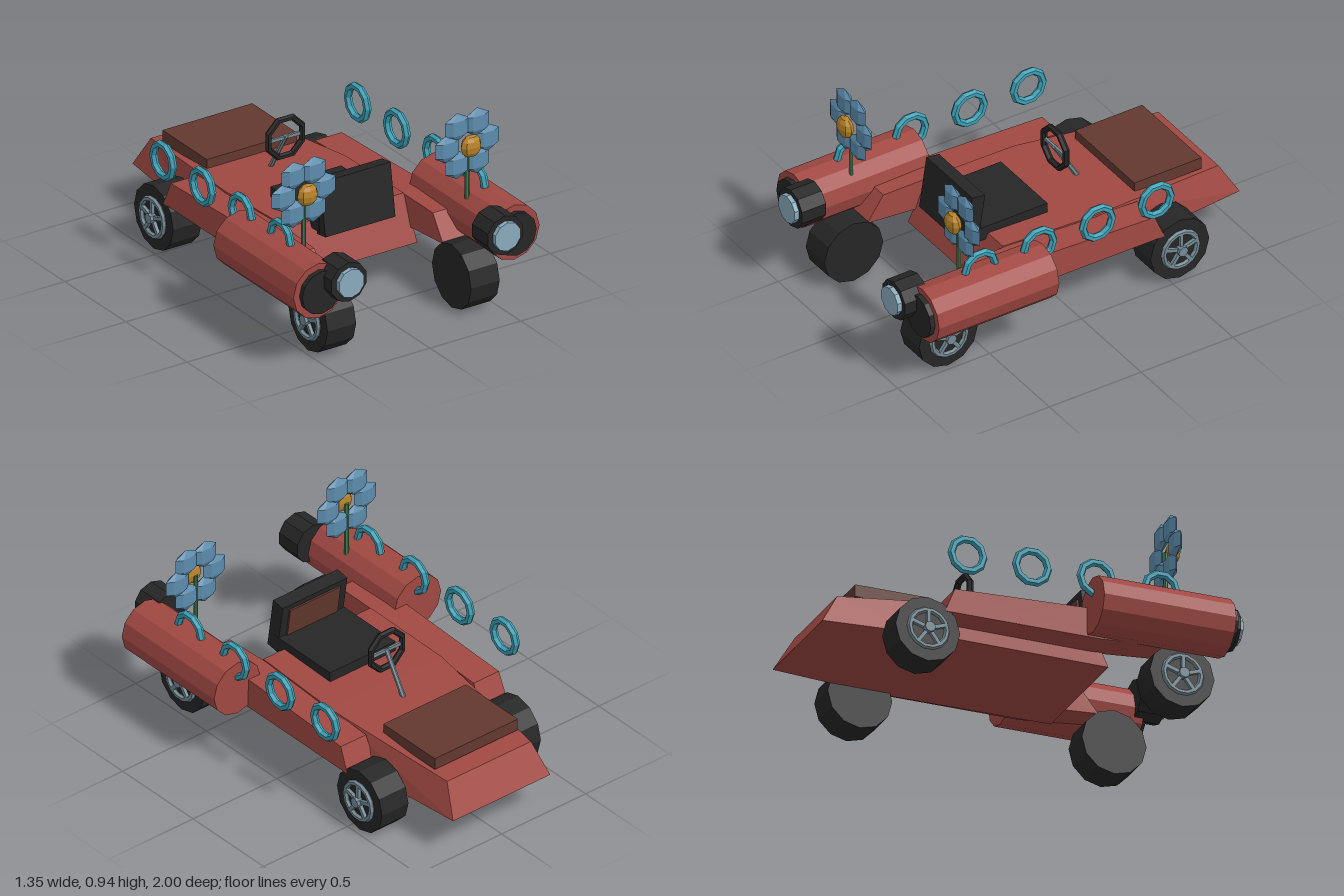
import * as THREE from 'three';

const mat = (name, color, side = THREE.FrontSide) => {
  const m = new THREE.MeshStandardMaterial({ color, flatShading: true, side });
  m.name = name;
  return m;
};

export function createModel() {
  const red = mat('body red', 0xa04842);
  const brown = mat('panel brown', 0x63382f);
  const black = mat('rubber black', 0x262626);
  const steel = mat('steel grey', 0x748a94);
  const glass = mat('pale blue', 0x8aabbd);
  const petalBlue = mat('petal blue', 0x5c8cad);
  const cyan = mat('ring cyan', 0x3c9fb4);
  const gold = mat('gold', 0xb8832a);
  const green = mat('stem green', 0x457a50);

  const root = new THREE.Group();
  const add = (name, geo, material, x = 0, y = 0, z = 0, parent = root) => {
    const m = new THREE.Mesh(geo, material);
    m.name = name;
    m.position.set(x, y, z);
    parent.add(m);
    return m;
  };
  const group = (name, x = 0, y = 0, z = 0) => {
    const g = new THREE.Group();
    g.name = name;
    g.position.set(x, y, z);
    root.add(g);
    return g;
  };
  // cylinder lying along z or x
  const cylZ = (r, len, n) => new THREE.CylinderGeometry(r, r, len, n).rotateX(Math.PI / 2);
  const cylX = (r, len, n) => new THREE.CylinderGeometry(r, r, len, n).rotateZ(Math.PI / 2);

  // loft through four-cornered stations: [zBottom, zTop, halfBottom, halfTop, yBottom, yTop]
  const loft = (stations) => {
    const pos = [], idx = [];
    stations.forEach(([zb, zt, hb, ht, yb, yt], i) => {
      pos.push(-hb, yb, zb, hb, yb, zb, ht, yt, zt, -ht, yt, zt);
      if (i === 0) return;
      const p = (i - 1) * 4, q = i * 4;
      for (let k = 0; k < 4; k++) {
        const n = (k + 1) % 4;
        idx.push(p + k, p + n, q + n, p + k, q + n, q + k);
      }
    });
    const e = (stations.length - 1) * 4;
    idx.push(0, 2, 1, 0, 3, 2, e, e + 1, e + 2, e, e + 2, e + 3);
    const g = new THREE.BufferGeometry();
    g.setAttribute('position', new THREE.Float32BufferAttribute(pos, 3));
    g.setIndex(idx);
    const flat = g.toNonIndexed();
    flat.computeVertexNormals();
    return flat;
  };

  // hull with sloping nose and tail
  add('hull', loft([
    [-1.0, -0.91, 0.29, 0.25, 0.2, 0.355],
    [-0.45, -0.18, 0.345, 0.33, 0.2, 0.405],
    [0.4, 0.31, 0.335, 0.32, 0.2, 0.42],
  ]), red);
  add('hoodPanel', new THREE.BoxGeometry(0.495, 0.06, 0.365), brown, 0, 0.402, -0.637);

  // seat
  add('seatCushion', new THREE.BoxGeometry(0.39, 0.07, 0.4), black, 0, 0.425, 0.185);
  const back = group('seatBack', 0, 0.51, 0.378);
  back.rotation.x = -0.15;
  add('seatBackFrame', new THREE.BoxGeometry(0.385, 0.265, 0.07), black, 0, 0, 0, back);
  add('seatBackPanel', new THREE.BoxGeometry(0.3, 0.18, 0.009), brown, 0, 0.015, -0.039, back);

  // steering wheel and column
  const steering = group('steering', 0, 0.59, -0.183);
  add('steeringWheel', new THREE.TorusGeometry(0.1, 0.016, 6, 8).rotateZ(Math.PI / 8), black, 0, 0, 0, steering);
  add('steeringBar', new THREE.BoxGeometry(0.19, 0.016, 0.012), steel, 0, 0, 0, steering);
  const column = add('steeringColumn', new THREE.CylinderGeometry(0.012, 0.012, 0.25, 6), steel, 0, -0.1, -0.06, steering);
  column.rotation.x = Math.atan2(0.12, 0.2);

  for (const s of [-1, 1]) {
    // side beam reaching back to the pod
    add('sideBeam', loft([
      [-0.47, -0.42, 0.08, 0.075, 0.265, 0.387],
      [0.3, 0.3, 0.08, 0.075, 0.265, 0.415],
      [0.63, 0.54, 0.075, 0.07, 0.29, 0.41],
    ]), red, s * 0.396);

    // wheels with spoked rims on the outer face
    for (const z of [0.707, -0.555]) {
      const w = group('wheel', s * 0.395, 0.16, z);
      add('tyre', cylX(0.16, 0.157, 12), black, 0, 0, 0, w);
      add('rim', new THREE.TorusGeometry(0.092, 0.014, 6, 14).rotateY(Math.PI / 2), steel, s * 0.083, 0, 0, w);
      add('hub', cylX(0.026, 0.04, 8), steel, s * 0.09, 0, 0, w);
      for (let i = 0; i < 5; i++) {
        const spoke = add('spoke', new THREE.BoxGeometry(0.02, 0.085, 0.018).translate(0, 0.05, 0), steel, s * 0.085, 0, 0, w);
        spoke.rotation.x = (i * Math.PI * 2) / 5;
      }
    }

    // rear pod, its end disc and the nozzle
    add('pod', cylZ(0.139, 0.655, 12), red, s * 0.538, 0.396, 0.5625);
    add('podEndDisc', cylZ(0.108, 0.05, 12), black, s * 0.537, 0.396, 0.89);
    add('nozzle', cylZ(0.1, 0.13, 10), black, s * 0.43, 0.446, 0.912);
    add('nozzleLens', cylZ(0.072, 0.04, 10), glass, s * 0.43, 0.448, 0.98);

    // row of floating rings
    for (let i = 0; i < 4; i++) {
      add('ring', new THREE.TorusGeometry(0.08, 0.019, 6, 10).rotateY(Math.PI / 2), cyan,
        s * 0.535, 0.535, -0.385 + i * 0.32);
    }

    // flower
    const f = group('flower', s * 0.45, 0.77, 0.635);
    add('stem', new THREE.CylinderGeometry(0.011, 0.011, 0.28, 6), green, 0, -0.14, 0, f);
    for (let i = 0; i < 6; i++) {
      const a = (i * Math.PI) / 3;
      add('petal', new THREE.SphereGeometry(0.072, 6, 3).scale(1.06, 1, 0.36), petalBlue,
        Math.cos(a) * 0.11, Math.sin(a) * 0.11, 0, f);
    }
    add('flowerCentre', new THREE.SphereGeometry(0.056, 8, 6).scale(1, 1, 0.6), gold, 0, 0, 0.033, f);
  }
  return root;
}
